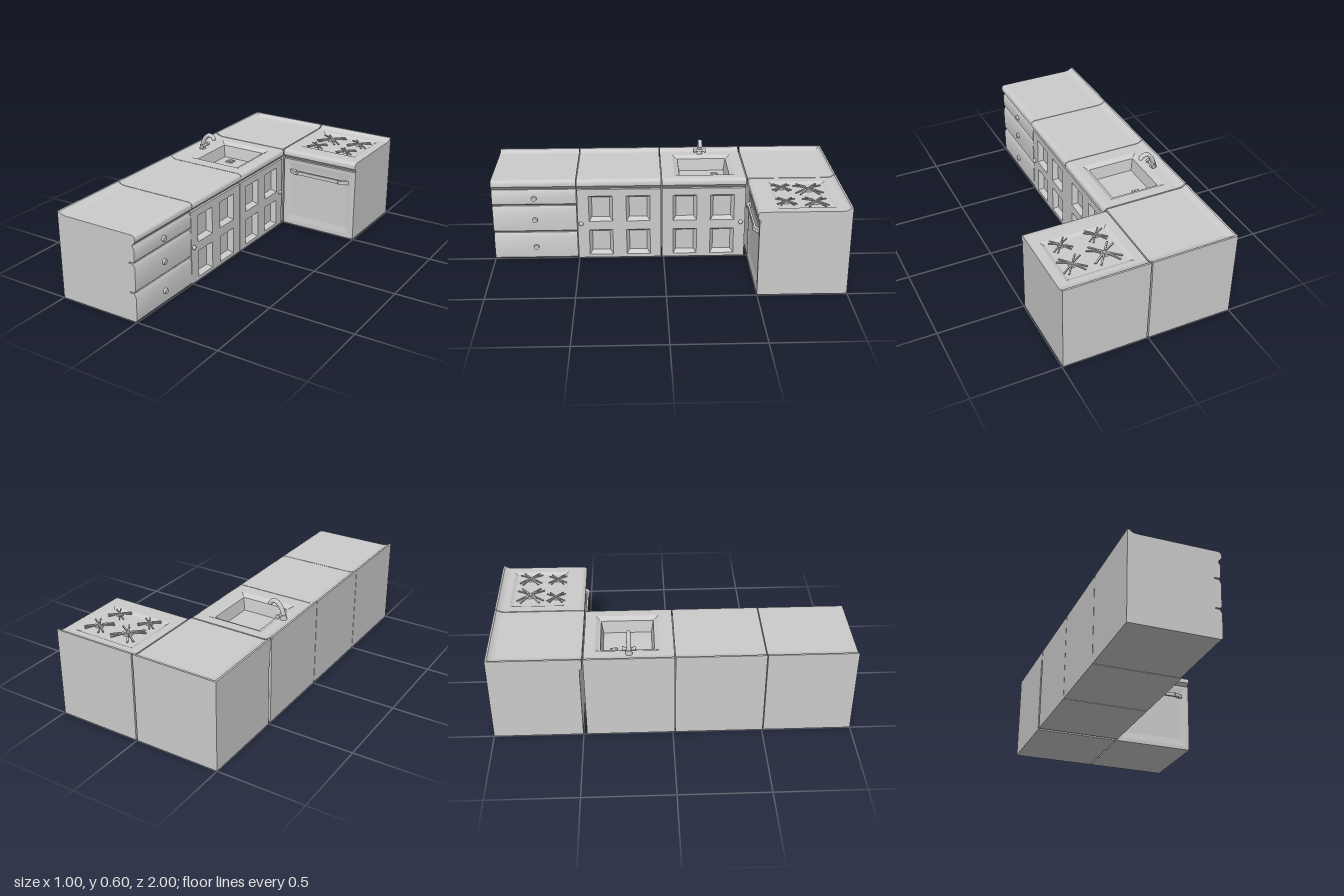
import * as THREE from 'three';
import { toCreasedNormals } from 'three/addons/utils/BufferGeometryUtils.js';

const material = new THREE.MeshStandardMaterial({ color: 0xcccccc });
const TOP = 0.497;   // worktop height
const FACE = -0.035; // carcass front behind the door or drawers

function add(parent, name, geometry, x = 0, y = 0, z = 0) {
  const mesh = new THREE.Mesh(geometry, material);
  mesh.name = name;
  mesh.position.set(x, y, z);
  parent.add(mesh);
  return mesh;
}

const box = (w, h, d) => new THREE.BoxGeometry(w, h, d);
const toShape = pts => new THREE.Shape(pts.map(p => new THREE.Vector2(...p)));
const rect = (x0, y0, x1, y1) => [[x0, y0], [x1, y0], [x1, y1], [x0, y1]];

function extrude(pts, depth, holes = []) {
  const shape = toShape(pts);
  shape.holes = holes.map(h => toShape(rect(...h)));
  const g = new THREE.ExtrudeGeometry(shape, { depth, bevelEnabled: false });
  return toCreasedNormals(g, 0.7);
}

// Stepped hollow facing +z: rings are [x0, y0, x1, y1, z] from rim to floor
function hollow(rings) {
  const pos = [];
  const corners = r => rect(...r).map(p => [...p, r[4]]);
  const quad = (a, b, c, d) => pos.push(...a, ...b, ...c, ...a, ...c, ...d);
  for (let i = 0; i + 1 < rings.length; i++) {
    const a = corners(rings[i]), b = corners(rings[i + 1]);
    for (let k = 0; k < 4; k++) quad(a[k], a[(k + 1) % 4], b[(k + 1) % 4], b[k]);
  }
  quad(...corners(rings[rings.length - 1]));
  const g = new THREE.BufferGeometry();
  g.setAttribute('position', new THREE.Float32BufferAttribute(pos, 3));
  g.computeVertexNormals();
  return g;
}

const inset = ([x0, y0, x1, y1], d, z) => [x0 + d, y0 + d, x1 - d, y1 - d, z];
const lipCurve = [[-0.5, 0.515], [-0.49, 0.515], [-0.482, 0.507], [-0.468, 0.5], [-0.45, TOP]].reverse();

// Cabinet with its back at x = -0.5, its front at x = 0, running from z = 0 to width.
// opening: [x0, -z1, x1, -z0], steps: [inset, height] pairs of the hollow in the worktop
function cabinet(name, width, opening, steps) {
  const g = new THREE.Group();
  g.name = name;
  add(g, 'carcass', extrude([
    [-0.5, 0], [FACE, 0], [FACE, 0.44], [-0.01, 0.44], [0.01, 0.462], [0.01, 0.48],
    [0.005, 0.491], [-0.005, 0.496], [-0.02, TOP], [-0.02, 0.4], [-0.45, 0.4], ...lipCurve,
  ], width));
  add(g, 'worktop', extrude(rect(-0.45, -width, -0.02, 0), TOP - 0.4, opening ? [opening] : [])
    .rotateX(-Math.PI / 2), 0, 0.4, 0);
  if (opening) {
    add(g, 'worktopHollow', hollow([[...opening, TOP], ...steps.map(([d, y]) => inset(opening, d, y))])
      .rotateX(-Math.PI / 2));
  }
  return g;
}

// Front panel with sloping recesses; panel coordinates are (-z, y)
function panel(parent, name, width, height, recesses, slope, depth) {
  add(parent, name, extrude(rect(-width, 0, 0, height), -FACE, recesses)
    .rotateY(Math.PI / 2), FACE, 0, 0);
  for (const r of recesses) {
    add(parent, name + 'Recess', hollow([[...r, 0], inset(r, slope, -depth)]).rotateY(Math.PI / 2));
  }
}

function doorFront(parent, width, knobZ) {
  const recesses = [];
  for (const z of [0.065, 0.285]) for (const y of [0.02, 0.235])
    recesses.push([-z - 0.14, y, -z, y + 0.16]);
  panel(parent, 'door', width, 0.437, recesses, 0.018, 0.03);
  add(parent, 'doorKnob', new THREE.SphereGeometry(0.013, 16, 10), 0.002, 0.22, knobZ);
}

function drawerFront(parent, width) {
  for (const [y0, y1, knobY] of [[0, 0.165, 0.075], [0.172, 0.335, 0.25], [0.342, 0.437, 0.385]]) {
    add(parent, 'drawer', extrude([
      [FACE, y0], [-0.008, y0], [0, y0 + 0.008], [0.002, y1 - 0.022], [-0.01, y1], [FACE, y1],
    ], width));
    add(parent, 'drawerKnob', new THREE.CylinderGeometry(0.014, 0.017, 0.016, 16)
      .rotateZ(-Math.PI / 2), 0.006, knobY, width / 2);
  }
}

function tap(parent) {
  const g = new THREE.Group();
  g.name = 'tap';
  const path = new THREE.CatmullRomCurve3([
    [-0.43, 0.49], [-0.425, 0.53], [-0.408, 0.568], [-0.382, 0.591], [-0.358, 0.588], [-0.345, 0.574],
  ].map(([x, y]) => new THREE.Vector3(x, y, 0)));
  add(g, 'spout', new THREE.TubeGeometry(path, 24, 0.013, 10));
  add(g, 'spoutEnd', new THREE.SphereGeometry(0.013, 10, 8), -0.345, 0.574, 0);
  add(g, 'tapBase', new THREE.CylinderGeometry(0.016, 0.02, 0.03, 12), -0.428, 0.508, 0);
  add(g, 'tapAxle', new THREE.CylinderGeometry(0.008, 0.008, 0.06, 10).rotateX(Math.PI / 2), -0.415, 0.52, 0);
  for (const s of [-1, 1]) {
    add(g, 'tapHandle', new THREE.CylinderGeometry(0.013, 0.011, 0.014, 8).rotateX(s * Math.PI / 2),
      -0.412, 0.521, s * 0.03);
  }
  g.position.z = -0.235;
  parent.add(g);
}

// Raised cross of forked prongs around a small square cap
function burner(parent, x, z, r) {
  const g = new THREE.Group();
  g.name = 'burner';
  add(g, 'burnerCap', box(r * 0.4, 0.012, r * 0.4), 0, 0.006, 0);
  add(g, 'burnerCentre', new THREE.CylinderGeometry(r * 0.11, r * 0.14, 0.018, 8), 0, 0.009, 0);
  for (let k = 0; k < 4; k++) for (const s of [-1, 1]) {
    const prong = add(g, 'prong', box(r * 0.8, 0.006, r * 0.09).rotateZ(-0.1).translate(r * 0.6, 0.013, 0));
    prong.rotation.y = Math.PI / 4 + k * Math.PI / 2 + s * 0.17;
  }
  g.position.set(x, 0.487, z);
  parent.add(g);
}

export function createModel() {
  const model = new THREE.Group();
  model.name = 'kitchenUnits';

  // Straight run of cabinets
  const W = 0.491;
  const drawers = cabinet('drawerCabinet', W);
  drawers.position.z = 0.509;
  drawerFront(drawers, W);
  const doors = cabinet('doorCabinet', W);
  doors.position.z = 0.014;
  doorFront(doors, W, 0.47);
  const sink = cabinet('sinkCabinet', W, [-0.4, -0.415, -0.06, -0.06],
    [[0.022, 0.484], [0.03, 0.482], [0.042, 0.41]]);
  sink.position.z = -0.481;
  doorFront(sink, W, 0.025);
  model.add(drawers, doors, sink);
  add(model, 'drain', box(0.042, 0.008, 0.042), -0.28, 0.413, -0.32);
  add(model, 'drainCap', new THREE.CylinderGeometry(0.012, 0.016, 0.008, 8), -0.28, 0.42, -0.32);
  tap(model);

  // Corner cabinet with a raised lip along both walls
  const corner = new THREE.Group();
  corner.name = 'cornerCabinet';
  add(corner, 'carcass', box(0.498, 0.45, 0.498), -0.251, 0.225, -0.751);
  add(corner, 'worktop', box(0.5, TOP - 0.45, 0.512), -0.25, (TOP + 0.45) / 2, -0.744);
  const lip = [[-0.5, 0.49], [-0.45, 0.49], ...lipCurve];
  add(corner, 'sideLip', extrude(lip, 0.51), 0, 0, -1);
  add(corner, 'backLip', extrude(lip, 0.5).rotateY(-Math.PI / 2), 0, 0, -0.5);
  model.add(corner);

  // Cooker, turned to face the front
  const cooker = cabinet('cooker', 0.488, [-0.425, -0.435, -0.1, -0.055], [[0.02, 0.487]]);
  cooker.rotation.y = -Math.PI / 2;
  cooker.position.set(0.495, 0, -0.5);
  panel(cooker, 'ovenDoor', 0.488, 0.437, [[-0.468, 0.025, -0.02, 0.42]], 0.04, 0.005);
  model.add(cooker);
  for (const [x, z, r] of [[0.175, -0.81, 0.095], [0.36, -0.82, 0.08], [0.15, -0.66, 0.065], [0.35, -0.66, 0.065]])
    burner(model, x, z, r);

  // Oven handle: a bar bent back to the door at both ends
  const half = [[0.2, -0.515], [0.2, -0.502], [0.16, -0.475], [0.145, -0.475], [0.138, -0.481]];
  const inner = [[0.138, -0.492], [0.155, -0.492], [0.165, -0.515]];
  const mirror = pts => pts.map(([x, z]) => [-x, z]);
  const outline = [...half, ...mirror(half).reverse(), ...mirror(inner).reverse(), ...inner];
  add(model, 'ovenHandle', extrude(outline, 0.022).rotateX(Math.PI / 2), 0.25, 0.373, 0);

  return model;
}
